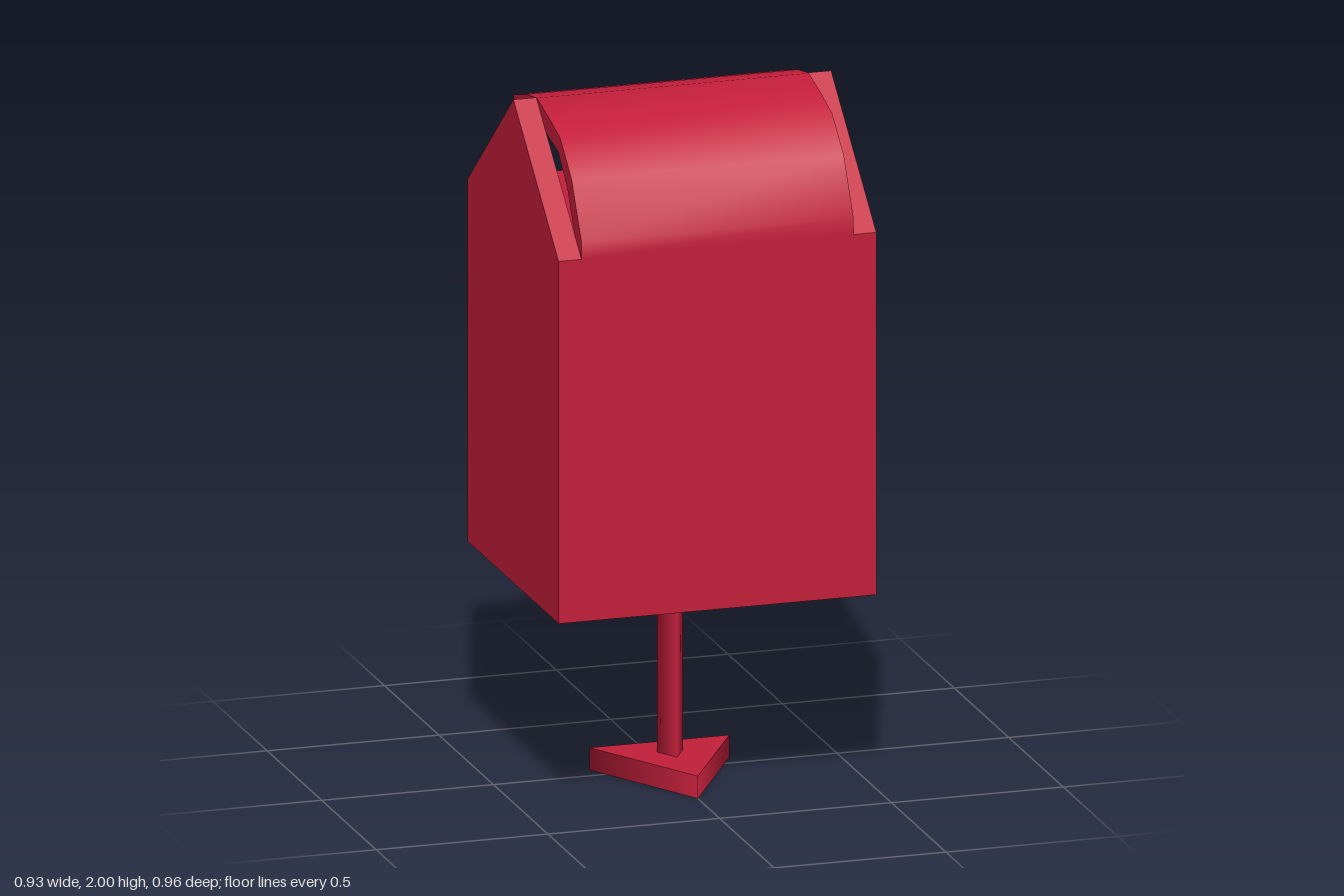
import * as THREE from 'three';
import { toCreasedNormals } from 'three/addons/utils/BufferGeometryUtils.js';

const MID = 0.065; // z of the post, base and roof ridge

// Side profile given as [z, y] points, extruded along x and centred on x
function sideExtrude(points, x, width) {
  const shape = new THREE.Shape(points.map(([z, y]) => new THREE.Vector2(z, y)));
  const geo = new THREE.ExtrudeGeometry(shape, { depth: width, bevelEnabled: false });
  geo.translate(0, 0, -width / 2);
  geo.rotateY(-Math.PI / 2);
  geo.translate(x, 0, 0);
  return geo;
}

export function createModel() {
  const model = new THREE.Group();
  model.name = 'mailbox';
  const red = new THREE.MeshStandardMaterial({ color: 0xc41e3a });
  red.name = 'red';

  const add = (name, geo, x = 0, y = 0, z = 0) => {
    const mesh = new THREE.Mesh(geo, red);
    mesh.name = name;
    mesh.position.set(x, y, z);
    model.add(mesh);
    return mesh;
  };
  // Three-sided prism with one edge towards +z
  const prism = (r, h) => new THREE.CylinderGeometry(r, r, h, 3);

  // Stand
  add('base', prism(0.235, 0.065), 0, 0.0325, MID);
  add('post', prism(0.044, 0.56), 0, 0.335, MID);

  // Box body
  add('body', new THREE.BoxGeometry(0.925, 1.05, 0.835), 0, 1.125, 0.0625);

  // Pointed side walls above the body
  for (const [name, side] of [['leftGable', 1], ['rightGable', -1]]) {
    add(name, sideExtrude([[-0.355, 1.65], [0.48, 1.65], [MID, 2]], side * 0.429, 0.067));
  }

  // Curved hood, open at the back
  const hood = sideExtrude([
    [0.48, 1.65], [0.48, 1.7], [0.39, 1.855], [0.285, 1.945], [0.18, 1.975],
    [0.07, 2], [-0.03, 1.982], [-0.145, 1.948],
    [-0.122, 1.89], [-0.03, 1.92], [0.07, 1.937], [0.17, 1.92],
    [0.265, 1.9], [0.35, 1.82], [0.41, 1.715], [0.42, 1.65],
  ], 0, 0.792);
  add('hood', toCreasedNormals(hood, 0.7));

  // Door knob and stem on the back
  add('knobStem', prism(0.017, 0.1).rotateX(Math.PI / 2), 0.295, 0.962, -0.385);
  add('knob', new THREE.SphereGeometry(0.034, 8, 6), 0.295, 0.965, -0.447);

  // Door hinges
  for (const y of [0.85, 1.078]) {
    add('hinge', prism(0.012, 0.046).rotateY(Math.PI), -0.373, y, -0.36);
  }

  return model;
}
